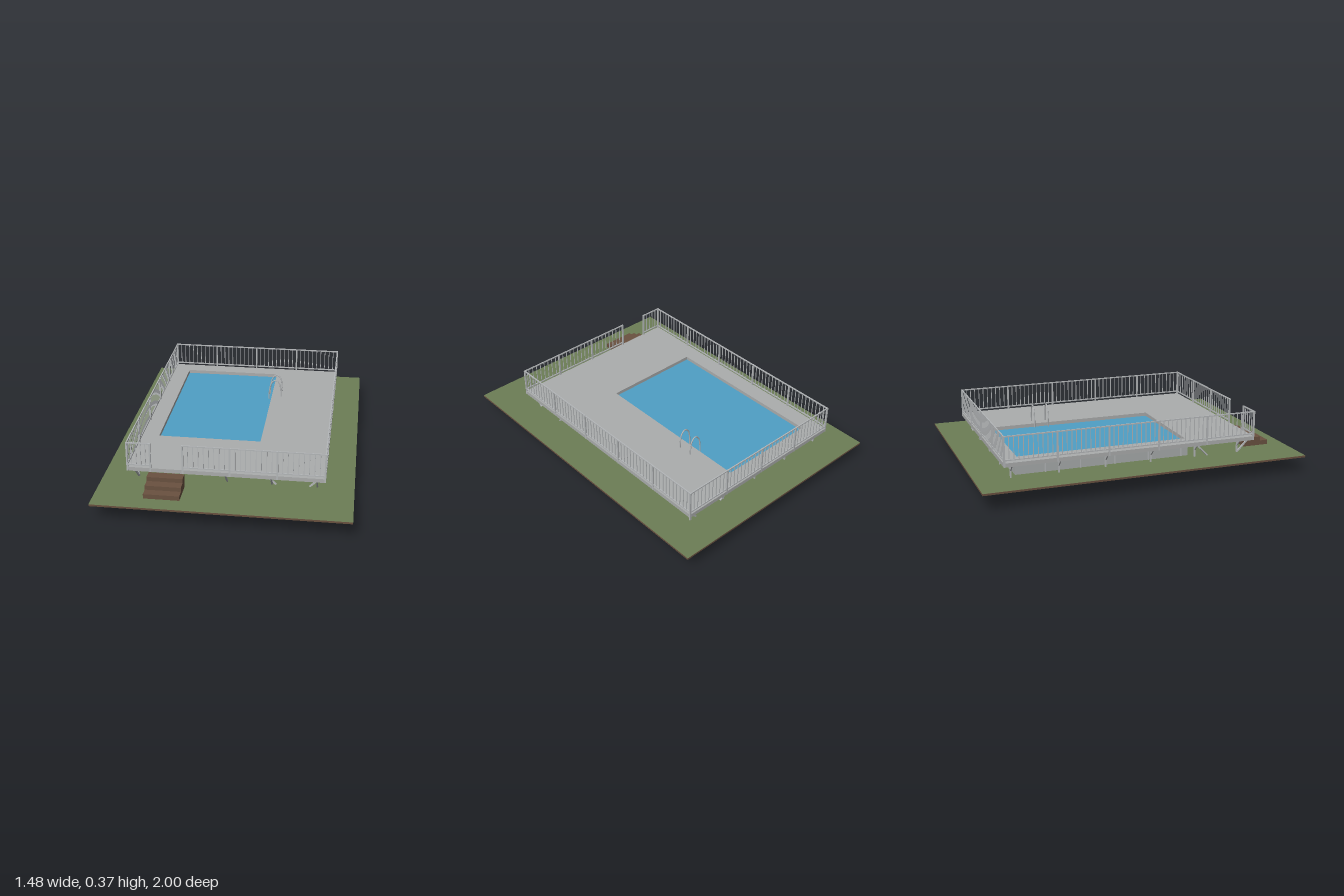
import * as THREE from 'three';
import { mergeGeometries } from 'three/addons/utils/BufferGeometryUtils.js';

const mat = (name, color, extra = {}) => {
  const m = new THREE.MeshStandardMaterial({ color, ...extra });
  m.name = name;
  return m;
};

// main levels and outlines
const GROUND = 0.107, DECK_LOW = 0.188, DECK_TOP = 0.212, RAIL_TOP = 0.37;
const POOL = { x0: -0.475, x1: 0.155, z0: -0.74, z1: 0.312 };
const DECK = { x0: -0.58, x1: 0.575, z0: -0.84, z1: 0.73 };
const LAND = { x0: -0.74, x1: 0.74, z0: -1, z1: 1 };

// box given by its min and max corners
function box(x0, x1, y0, y1, z0, z1) {
  return new THREE.BoxGeometry(x1 - x0, y1 - y0, z1 - z0)
    .translate((x0 + x1) / 2, (y0 + y1) / 2, (z0 + z1) / 2);
}

// square bar between two points
function bar(a, b, size) {
  const p = new THREE.Vector3(...a), q = new THREE.Vector3(...b);
  const dir = q.clone().sub(p);
  const g = new THREE.BoxGeometry(size, dir.length(), size);
  g.applyQuaternion(new THREE.Quaternion().setFromUnitVectors(new THREE.Vector3(0, 1, 0), dir.normalize()));
  return g.translate((p.x + q.x) / 2, (p.y + q.y) / 2, (p.z + q.z) / 2);
}

// rectangle with a rectangular opening, drawn in plan
function frameShape(o, i) {
  const pts = r => [[r.x0, -r.z1], [r.x1, -r.z1], [r.x1, -r.z0], [r.x0, -r.z0]].map(p => new THREE.Vector2(...p));
  const s = new THREE.Shape(pts(o));
  s.holes.push(new THREE.Path(pts(i).reverse()));
  return s;
}

function slab(o, i, y0, y1) {
  return new THREE.ExtrudeGeometry(frameShape(o, i), { depth: y1 - y0, bevelEnabled: false })
    .rotateX(-Math.PI / 2).translate(0, y0, 0);
}

// evenly spaced values, ends included
const spread = (a, b, n) => Array.from({ length: n + 1 }, (_, i) => a + (b - a) * i / n);

export function createModel() {
  const model = new THREE.Group();
  model.name = 'raisedPool';
  const grass = mat('grass green', 0x6c7e55);
  const earth = mat('earth brown', 0x68503f);
  const wood = mat('stair brown', 0x6a5140);
  const deckGrey = mat('deck grey', 0xabadad);
  const wallGrey = mat('wall grey', 0xa8acac);
  const metal = mat('rail metal', 0xb4b7b9);
  const water = mat('water blue', 0x4f9fc5, { side: THREE.DoubleSide });
  const basin = mat('basin blue', 0x2b669d, { side: THREE.DoubleSide });
  const add = (name, geometry, material) => {
    const mesh = new THREE.Mesh(Array.isArray(geometry) ? mergeGeometries(geometry) : geometry, material);
    mesh.name = name;
    model.add(mesh);
  };

  // ground slab with grass on top
  add('earthSlab', slab(LAND, POOL, 0.095, GROUND - 0.001), earth);
  add('grass', new THREE.ShapeGeometry(frameShape(LAND, POOL)).rotateX(-Math.PI / 2).translate(0, GROUND, 0), grass);

  // pool floor and water surface
  const sheet = y => new THREE.PlaneGeometry(POOL.x1 - POOL.x0, POOL.z1 - POOL.z0).rotateX(-Math.PI / 2)
    .translate((POOL.x0 + POOL.x1) / 2, y, (POOL.z0 + POOL.z1) / 2);
  add('poolFloor', sheet(0), basin);
  add('water', sheet(0.19), water);

  // pool wall above ground and its ribs
  const WALL = { x0: POOL.x0 - 0.015, x1: POOL.x1 + 0.015, z0: POOL.z0 - 0.015, z1: POOL.z1 + 0.015 };
  add('poolWall', slab(WALL, POOL, GROUND, DECK_LOW), wallGrey);
  const ribs = [];
  for (const z of spread(-0.575, 0.28, 4)) {
    ribs.push(box(WALL.x0 - 0.006, WALL.x0, GROUND, DECK_LOW, z - 0.003, z + 0.003));
    ribs.push(box(WALL.x1, WALL.x1 + 0.006, GROUND, DECK_LOW, z - 0.003, z + 0.003));
  }
  for (const x of spread(-0.37, 0.055, 2)) {
    ribs.push(box(x - 0.003, x + 0.003, GROUND, DECK_LOW, WALL.z0 - 0.006, WALL.z0));
    ribs.push(box(x - 0.003, x + 0.003, GROUND, DECK_LOW, WALL.z1, WALL.z1 + 0.006));
  }
  add('wallRibs', ribs, metal);

  // deck around the pool
  add('deck', slab(DECK, POOL, DECK_LOW, DECK_TOP), deckGrey);

  // posts under the narrow sides, sloping braces under the wide sides
  const supports = [];
  for (const x of spread(-0.53, 0.525, 4)) {
    supports.push(bar([x, GROUND, -0.79], [x, DECK_LOW, -0.79], 0.009));
    supports.push(bar([x, 0.16, -0.79], [x, DECK_LOW, -0.76], 0.007));
    supports.push(bar([x, GROUND, 0.64], [x, DECK_LOW, 0.72], 0.009));
    supports.push(bar([x, GROUND, 0.44], [x, DECK_LOW, 0.36], 0.009));
  }
  for (const z of spread(-0.79, 0.64, 5)) {
    supports.push(bar([-0.53, GROUND, z], [-0.53, DECK_LOW, z], 0.009));
    supports.push(bar([-0.53, 0.15, z], [-0.565, DECK_LOW, z], 0.007));
    supports.push(bar([0.48, GROUND, z], [0.56, DECK_LOW, z], 0.009));
    supports.push(bar([0.285, GROUND, z], [0.2, DECK_LOW, z], 0.009));
  }
  add('deckSupports', supports, metal);

  // railing runs: start, end, number of bays
  const { x0, x1, z0, z1 } = { x0: DECK.x0 + 0.004, x1: DECK.x1 - 0.004, z0: DECK.z0 + 0.004, z1: DECK.z1 - 0.004 };
  const runs = [
    [[x0, z0], [x1, z0], 4], [[x0, z0], [x0, z1], 5], [[x1, z0], [x1, z1], 5],
    [[x0, z1], [-0.44, z1], 1], [[-0.25, z1], [x1, z1], 3],
  ];
  const posts = [], rails = [], balusters = [];
  for (const [a, b, bays] of runs) {
    const length = Math.hypot(b[0] - a[0], b[1] - a[1]);
    const at = t => [a[0] + (b[0] - a[0]) * t, a[1] + (b[1] - a[1]) * t];
    for (const t of spread(0, 1, bays)) {
      const [x, z] = at(t);
      posts.push(box(x - 0.005, x + 0.005, DECK_LOW, RAIL_TOP, z - 0.005, z + 0.005));
    }
    for (const y of [RAIL_TOP - 0.003, 0.228]) rails.push(bar([a[0], y, a[1]], [b[0], y, b[1]], 0.007));
    const n = bays * Math.round(length / bays / 0.029);
    for (const t of spread(0, 1, n).slice(1, -1)) {
      const [x, z] = at(t);
      balusters.push(box(x - 0.002, x + 0.002, 0.228, RAIL_TOP - 0.004, z - 0.002, z + 0.002));
    }
  }
  add('railingPosts', posts, metal);
  add('railingRails', rails, metal);
  add('railingBalusters', balusters, metal);

  // three solid steps
  add('stairs', [
    box(-0.45, -0.24, GROUND, 0.135, 0.845, 0.897),
    box(-0.45, -0.24, GROUND, 0.161, 0.79, 0.845),
    box(-0.45, -0.24, GROUND, 0.187, 0.732, 0.79),
  ], wood);

  // pool ladder: two bent rails with treads
  const ladder = [];
  for (const z of [-0.46, -0.37]) {
    const path = new THREE.CatmullRomCurve3([
      [0.217, DECK_TOP], [0.215, 0.26], [0.205, 0.305], [0.18, 0.327], [0.153, 0.305],
      [0.14, 0.26], [0.136, 0.18], [0.135, 0.06], [0.138, 0.035], [0.148, 0.025],
    ].map(([x, y]) => new THREE.Vector3(x, y, z)));
    ladder.push(new THREE.TubeGeometry(path, 40, 0.004, 8));
  }
  for (const y of [0.075, 0.13]) ladder.push(box(0.124, 0.146, y - 0.003, y + 0.003, -0.46, -0.37));
  add('poolLadder', ladder, metal);

  return model;
}
